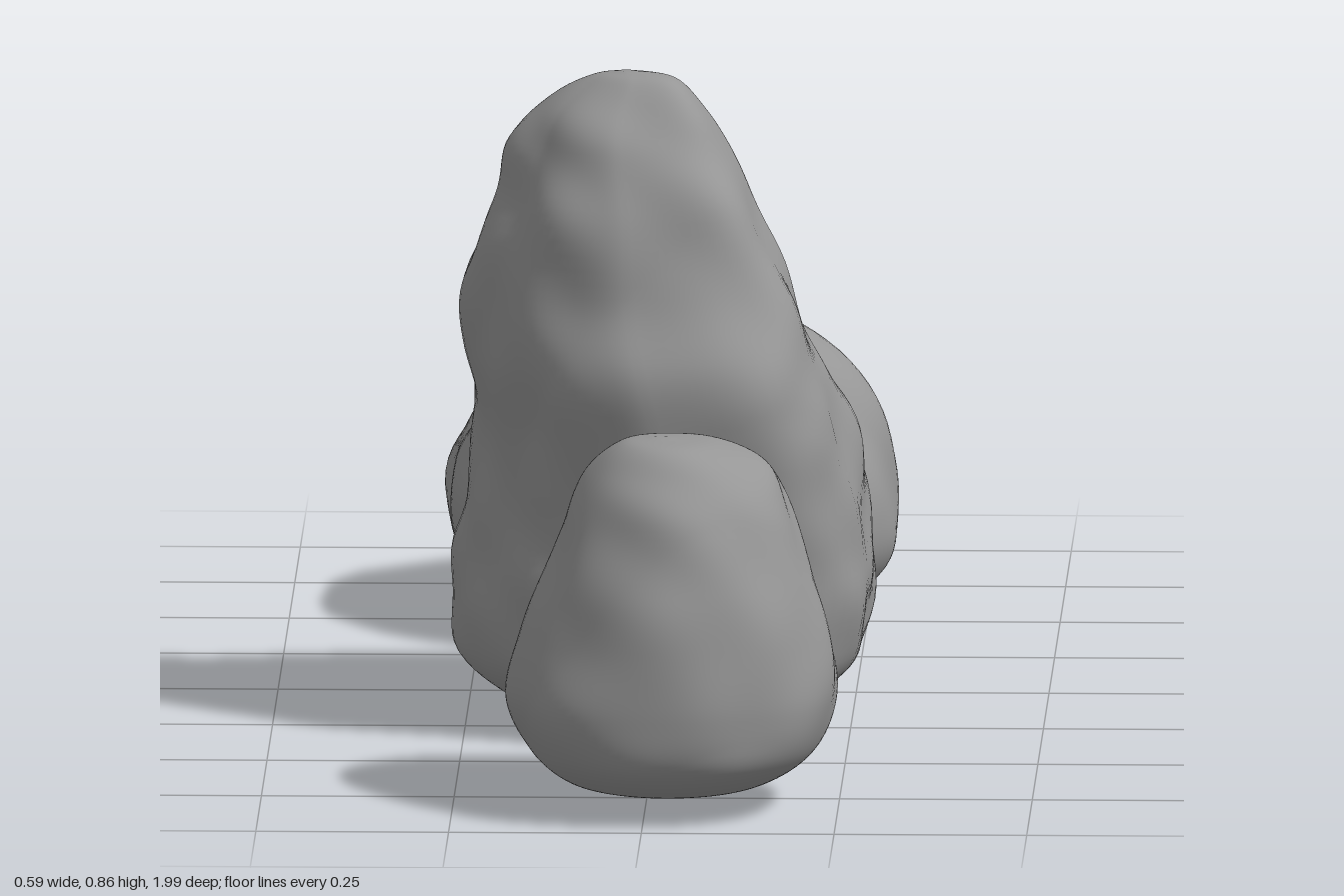
import * as THREE from 'three';

const SEGMENTS = 96, RINGS = 90;

// Smooth lumps with a few softer folds, in about -1..1
function lumps(p, seed) {
  const { x, y, z } = p;
  const wx = x + 0.05 * Math.sin(11 * y + seed), wz = z + 0.05 * Math.sin(9 * x + 2 * seed);
  const wy = y + 0.04 * Math.sin(12 * z + 3 * seed);
  const broad = Math.sin(13 * wx + seed) * Math.sin(11 * wy + 1.7 * seed) + Math.sin(12 * wz + 8 * y + seed);
  const fold = Math.abs(Math.sin(9 * wx - 7 * wy + 8 * wz + seed)) - 0.6;
  const fine = Math.sin(25 * wx + 9 * y) * Math.sin(24 * wy + seed) * Math.sin(25 * wz + 6 * y);
  return 0.25 * broad + 0.4 * fold + 0.6 * fine;
}

// Rock lofted through sections [t, a0, a1, b0, b1]. power squares off each
// quadrant of the section, blending to endPower; middle sets where b is widest.
function rock({ name, sections, power, endPower, middle = 0.5, place, seed, rough }) {
  const curveA = new THREE.CatmullRomCurve3(sections.map(s => new THREE.Vector3(s[0], s[1], s[2])), false, 'catmullrom');
  const curveB = new THREE.CatmullRomCurve3(sections.map(s => new THREE.Vector3(s[0], s[3], s[4])), false, 'catmullrom');
  const positions = [], index = [];

  const addPoint = (p, centre) => {
    const out = p.clone().sub(centre);
    const bump = lumps(p, seed) * rough;
    p.addScaledVector(out.normalize(), bump * Math.min(1, p.distanceTo(centre) / 0.12));
    p.y += 0.35 * bump;
    positions.push(p.x, p.y, p.z);
  };
  const addPole = s => {
    const p = place((s[1] + s[2]) / 2, (s[3] + s[4]) / 2, s[0]);
    addPoint(p, p.clone());
  };

  addPole(sections[0]);
  for (let i = 0; i <= RINGS; i++) {
    const u = i / RINGS, blend = THREE.MathUtils.smoothstep(u, 0.15, 0.65);
    const A = curveA.getPoint(u), B = curveB.getPoint(u);
    const ca = (A.y + A.z) / 2, cb = B.y + (B.z - B.y) * middle;
    for (let j = 0; j < SEGMENTS; j++) {
      const angle = j / SEGMENTS * Math.PI * 2;
      const c = Math.cos(angle), s = Math.sin(angle);
      const quadrant = Math.floor(j / SEGMENTS * 4);
      const n = THREE.MathUtils.lerp(power[quadrant], endPower[quadrant], blend);
      const r = (Math.abs(c) ** n + Math.abs(s) ** n) ** (-1 / n);
      const a = ca + c * r * (A.z - A.y) / 2;
      const b = cb + s * r * (s > 0 ? B.z - cb : cb - B.y);
      addPoint(place(a, b, A.x), place(ca, cb, A.x));
    }
  }
  addPole(sections[sections.length - 1]);

  const last = positions.length / 3 - 1;
  const at = (i, j) => 1 + i * SEGMENTS + j % SEGMENTS;
  for (let j = 0; j < SEGMENTS; j++) {
    index.push(0, at(0, j), at(0, j + 1));
    for (let i = 0; i < RINGS; i++) {
      index.push(at(i, j), at(i + 1, j), at(i, j + 1));
      index.push(at(i + 1, j), at(i + 1, j + 1), at(i, j + 1));
    }
    index.push(last, at(RINGS, j + 1), at(RINGS, j));
  }
  const geometry = new THREE.BufferGeometry();
  geometry.setAttribute('position', new THREE.Float32BufferAttribute(positions, 3));
  geometry.setIndex(index);
  geometry.computeVertexNormals();
  const mesh = new THREE.Mesh(geometry, new THREE.MeshStandardMaterial({ color: 0x969696 }));
  mesh.name = name;
  return mesh;
}

export function createModel() {
  const group = new THREE.Group();
  group.name = 'rocks';
  const upright = (a, b, t) => new THREE.Vector3(a, t, b);
  const lying = (a, b, t) => new THREE.Vector3(a, b, t);

  // Small rounded boulder at the front: y, x range, z range
  group.add(rock({
    name: 'smallRock', place: upright, seed: 1.3, rough: 0.009, power: [2.1, 2.1, 2, 2.2], endPower: [2.1, 2, 2.1, 2.8],
    sections: [
      [0.03, 0.02, 0.04, 0.76, 0.78],
      [0.033, -0.06, 0.11, 0.66, 0.88],
      [0.045, -0.11, 0.17, 0.615, 0.94],
      [0.085, -0.155, 0.225, 0.585, 0.985],
      [0.15, -0.18, 0.245, 0.57, 0.995],
      [0.23, -0.16, 0.235, 0.56, 0.985],
      [0.31, -0.13, 0.215, 0.575, 0.97],
      [0.40, -0.095, 0.185, 0.61, 0.935],
      [0.45, -0.07, 0.155, 0.66, 0.89],
      [0.48, -0.03, 0.09, 0.72, 0.85],
      [0.487, 0.01, 0.03, 0.78, 0.80],
    ],
  }));

  // Tall pointed rock in the middle, ridged along one diagonal towards the top
  group.add(rock({
    name: 'tallRock', place: upright, seed: 4.1, rough: 0.012, power: [2.4, 1.9, 2.6, 4], endPower: [4.2, 1.55, 3, 1.25],
    sections: [
      [0.025, -0.01, 0.01, 0.19, 0.21],
      [0.025, -0.13, 0.13, 0.08, 0.33],
      [0.045, -0.20, 0.20, -0.01, 0.38],
      [0.10, -0.26, 0.26, -0.09, 0.42],
      [0.20, -0.265, 0.275, -0.145, 0.435],
      [0.30, -0.25, 0.265, -0.145, 0.44],
      [0.40, -0.24, 0.245, -0.105, 0.455],
      [0.50, -0.25, 0.205, -0.06, 0.455],
      [0.59, -0.255, 0.175, 0.0, 0.415],
      [0.70, -0.21, 0.125, 0.05, 0.39],
      [0.77, -0.19, 0.085, 0.08, 0.355],
      [0.82, -0.155, 0.055, 0.14, 0.325],
      [0.86, -0.09, 0.02, 0.20, 0.285],
      [0.87, -0.05, -0.03, 0.235, 0.255],
    ],
  }));

  // Broad low rock at the back, tapering backwards: z, x range, y range
  group.add(rock({
    name: 'lowRock', place: lying, seed: 2.6, rough: 0.01, power: [1.9, 1.9, 2.4, 2.4], endPower: [2.6, 1.75, 2.2, 2.8], middle: 0.38,
    sections: [
      [-0.242, -0.06, -0.04, 0.14, 0.16],
      [-0.248, -0.12, 0.08, 0.10, 0.20],
      [-0.27, -0.175, 0.19, 0.07, 0.26],
      [-0.31, -0.225, 0.25, 0.045, 0.33],
      [-0.38, -0.27, 0.285, 0.02, 0.395],
      [-0.47, -0.295, 0.295, 0.015, 0.43],
      [-0.57, -0.30, 0.275, 0.01, 0.425],
      [-0.67, -0.295, 0.25, 0.01, 0.395],
      [-0.75, -0.25, 0.22, 0.015, 0.355],
      [-0.83, -0.15, 0.175, 0.03, 0.31],
      [-0.91, -0.09, 0.13, 0.05, 0.265],
      [-0.965, -0.05, 0.085, 0.06, 0.22],
      [-0.99, -0.02, 0.055, 0.09, 0.19],
      [-0.999, 0.01, 0.03, 0.13, 0.15],
    ],
  }));
  return group;
}
